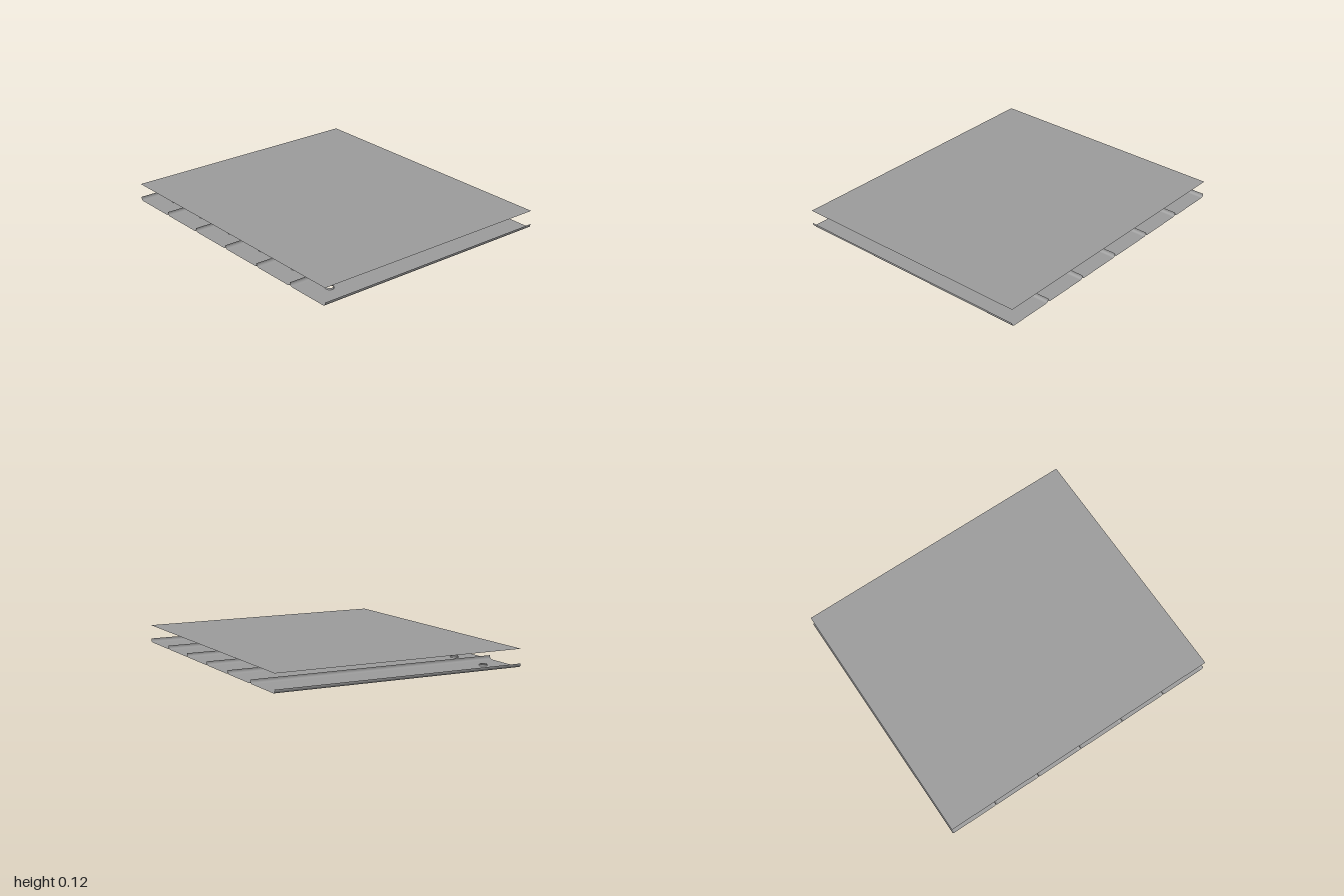
import * as THREE from 'three';

const PANELS = 6, PITCH = 2 / PANELS, DEPTH = 1.73;
const RIB_HEIGHT = 0.025, BEND = 0.018, BEND_STEPS = 5;
const HEIGHT = 0.12, HOLE_Z = 0.695, HOLE_R = 0.028;

const material = new THREE.MeshStandardMaterial({ color: 0x9d9d9d, side: THREE.DoubleSide });

function named(name, geometry) {
  const mesh = new THREE.Mesh(geometry, material);
  mesh.name = name;
  return mesh;
}

// Flat pan floor with a round opening near the front
function panFloor() {
  const w = PITCH / 2 - BEND, d = DEPTH / 2;
  const shape = new THREE.Shape([
    new THREE.Vector2(-w, -d), new THREE.Vector2(w, -d),
    new THREE.Vector2(w, d), new THREE.Vector2(-w, d),
  ]);
  shape.holes.push(new THREE.Path().absarc(0, -HOLE_Z, HOLE_R, 0, Math.PI * 2, true));
  return new THREE.ShapeGeometry(shape, 12).rotateX(-Math.PI / 2);
}

// Side wall: a rounded bend up from the floor, then a short upright edge
function panWall() {
  const steps = BEND_STEPS + 1;
  const wall = new THREE.PlaneGeometry(1, DEPTH, steps, 1).rotateX(-Math.PI / 2);
  const pos = wall.attributes.position;
  for (let i = 0; i < pos.count; i++) {
    const step = Math.round((pos.getX(i) + 0.5) * steps);
    const angle = Math.min(step / BEND_STEPS, 1) * Math.PI / 2;
    pos.setX(i, PITCH / 2 - BEND * (1 - Math.sin(angle)));
    pos.setY(i, step === steps ? RIB_HEIGHT : BEND * (1 - Math.cos(angle)));
  }
  wall.computeVertexNormals();
  return wall;
}

export function createModel() {
  const model = new THREE.Group();
  model.name = 'deckedPanel';

  // Row of folded pans making the ribbed lower deck
  for (let i = 0; i < PANELS; i++) {
    const pan = new THREE.Group();
    pan.name = 'deckPan';
    pan.position.x = -1 + PITCH * (i + 0.5);
    pan.add(named('panFloor', panFloor()));
    for (const turn of [0, Math.PI]) pan.add(named('panWall', panWall().rotateY(turn)));

    // Short raised collar around the opening
    const collar = new THREE.CylinderGeometry(HOLE_R - 0.004, HOLE_R, 0.01, 24, 1, true);
    pan.add(named('holeCollar', collar.translate(0, 0.005, HOLE_Z)));
    model.add(pan);
  }

  // Thin flat sheet floating above the deck
  const sheet = new THREE.PlaneGeometry(2, DEPTH).rotateX(-Math.PI / 2);
  model.add(named('topSheet', sheet.translate(0, HEIGHT, 0)));

  return model;
}
